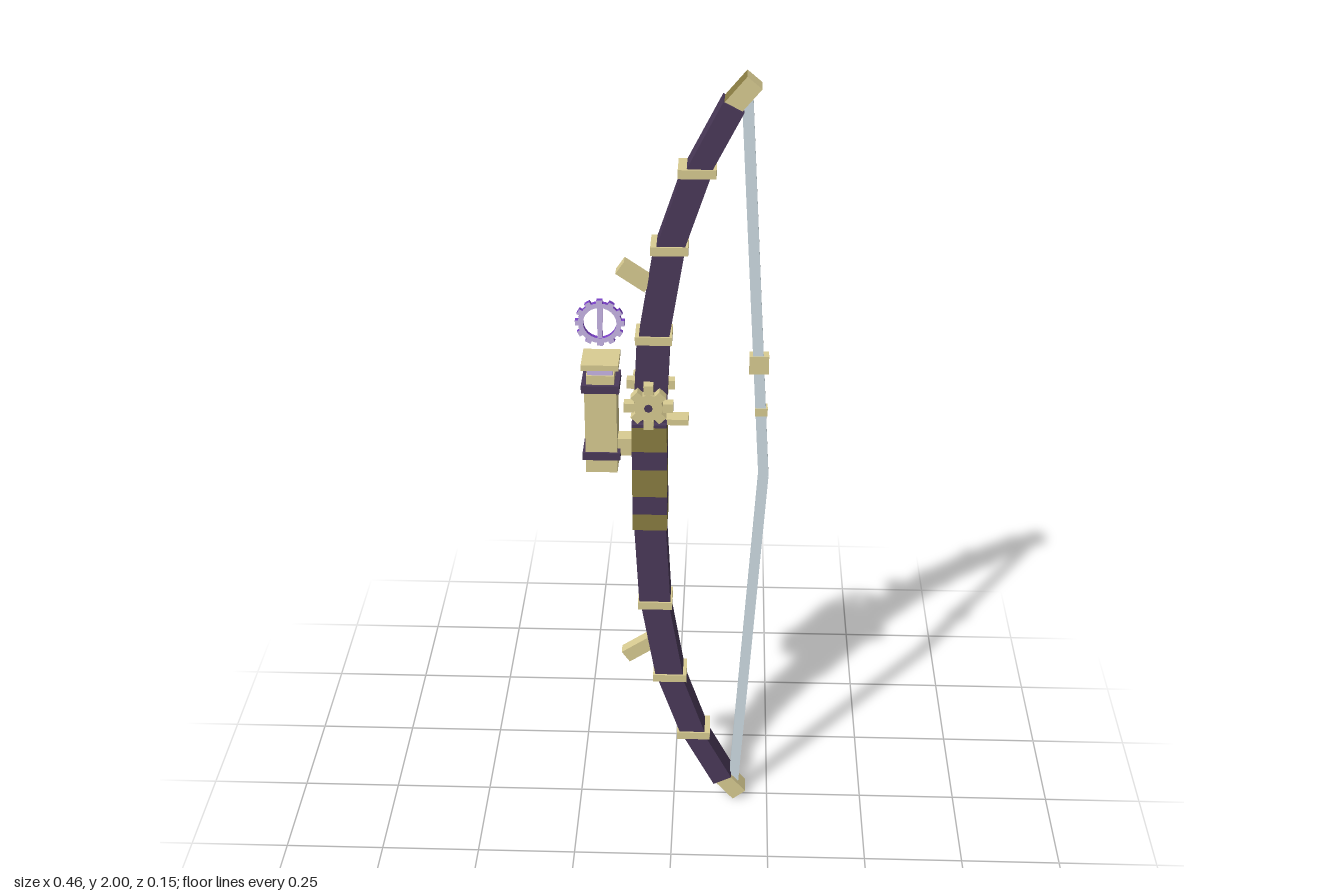
import * as THREE from 'three';

const mat = (name, color) => {
  const m = new THREE.MeshStandardMaterial({ color });
  m.name = name;
  return m;
};

export function createModel() {
  const dark = mat('dark purple wood', 0x4a3959);
  const brass = mat('pale brass', 0xd9cc92);
  const wrap = mat('olive grip wrap', 0x8a7d42);
  const steel = mat('pale steel', 0xcfdde4);
  const lavender = mat('pale lavender crystal', 0xd2bff2);
  const violet = mat('vivid violet crystal', 0x7a40c8);
  // Crystal boxes: violet edges, lavender front and back
  const crystal = [violet, violet, violet, violet, lavender, lavender];

  const bow = new THREE.Group();
  bow.name = 'bow';

  function box(name, w, h, d, x, y, z, material, angle = 0, parent = bow) {
    const mesh = new THREE.Mesh(new THREE.BoxGeometry(w, h, d), material);
    mesh.name = name;
    mesh.position.set(x, y, z);
    mesh.rotation.z = angle;
    parent.add(mesh);
    return mesh;
  }

  // Square bar between two points in the xy plane
  function bar(name, a, b, w, d, material) {
    const dx = b[0] - a[0], dy = b[1] - a[1];
    return box(name, w, Math.hypot(dx, dy), d, (a[0] + b[0]) / 2, (a[1] + b[1]) / 2, 0,
      material, Math.atan2(-dx, dy));
  }

  // Upper and lower limbs, mirrored about y = 1
  const joints = [[-0.06, 1.1], [-0.047, 1.37], [-0.01, 1.595], [0.052, 1.78], [0.13, 1.932]];
  const widths = [0.078, 0.07, 0.062, 0.052];
  for (const s of [1, -1]) {
    const side = s > 0 ? 'upper' : 'lower';
    const flip = ([x, y]) => [x, 1 + s * (y - 1)];
    for (let i = 0; i < 4; i++) {
      bar(side + 'Limb', flip(joints[i]), flip(joints[i + 1]), widths[i], 0.066, dark);
      if (i) {
        const [x, y] = flip(joints[i]);
        box(side + 'LimbBand', 0.086, 0.021, 0.075, x, y, 0, brass);
      }
    }
    // Tip with an olive outer face
    const tipFaces = [brass, brass, s > 0 ? wrap : brass, s > 0 ? brass : wrap, brass, brass];
    box(side + 'Tip', 0.078, 0.043, 0.05, 0.15, 1 + s * 0.956, 0, tipFaces, s * 0.87);
    box(side + 'Peg', 0.08, 0.036, 0.03, -0.091, 1 + s * 0.522, 0, brass, -s * 0.6);
    bar(side + 'String', [0.16, 1 + s * 0.95], [0.217, 1], 0.025, 0.024, steel);
  }

  // Nocking beads on the string
  box('stringBead', 0.046, 0.046, 0.028, 0.2, 1.3, 0, brass);
  box('smallStringBead', 0.03, 0.02, 0.028, 0.208, 1.175, 0, brass);

  // Striped grip
  const stripes = [0.86, 0.905, 0.955, 1.03, 1.08, 1.146];
  for (let i = 0; i < 5; i++) {
    const h = stripes[i + 1] - stripes[i];
    box('gripStripe', 0.084, h, 0.092, -0.058, stripes[i] + h / 2, 0, i % 2 ? dark : wrap);
  }
  box('gripCap', 0.084, 0.008, 0.092, -0.058, 1.15, 0, dark);
  box('arrowRest', 0.06, 0.015, 0.04, 0.005, 1.148, 0, brass);

  // Gears on both sides, sharing one axle
  for (const s of [1, -1]) {
    const gear = new THREE.Group();
    gear.name = 'gear';
    gear.position.set(-0.058, 1.213, s * 0.06);
    const hub = new THREE.Mesh(new THREE.CylinderGeometry(0.036, 0.036, 0.024, 8), brass);
    hub.name = 'gearDisc';
    hub.rotation.x = Math.PI / 2;
    gear.add(hub);
    for (let i = 0; i < 8; i++) {
      const a = i * Math.PI / 4;
      const reach = i % 2 ? 0.036 : 0.046;
      box('gearTooth', 0.024, 0.023, 0.024, reach * Math.cos(a), reach * Math.sin(a), 0, brass, a, gear);
    }
    bow.add(gear);
  }
  const axle = new THREE.Mesh(new THREE.CylinderGeometry(0.01, 0.01, 0.15, 8), dark);
  axle.name = 'gearAxle';
  axle.rotation.x = Math.PI / 2;
  axle.position.set(-0.058, 1.213, 0);
  bow.add(axle);

  // Canister with bands, neck and lid
  const cx = -0.173;
  box('canister', 0.076, 0.235, 0.08, cx, 1.137, 0, brass);
  for (const y of [1.065, 1.245]) box('canisterBand', 0.09, 0.02, 0.09, cx, y, 0, dark);
  box('canisterShoulder', 0.066, 0.023, 0.074, cx, 1.2665, 0, brass);
  box('canisterNeck', 0.06, 0.017, 0.066, cx, 1.2865, 0, lavender);
  box('canisterLid', 0.088, 0.014, 0.088, cx, 1.302, 0, brass);
  box('canisterBracket', 0.045, 0.045, 0.04, -0.117, 1.078, 0, brass);

  // Toothed sight ring with a central needle
  const ring = new THREE.Group();
  ring.name = 'sightRing';
  ring.position.set(cx, 1.4, 0);
  const shape = new THREE.Shape().absarc(0, 0, 0.051, 0, Math.PI * 2);
  shape.holes.push(new THREE.Path().absarc(0, 0, 0.039, 0, Math.PI * 2, true));
  const hoop = new THREE.Mesh(
    new THREE.ExtrudeGeometry(shape, { depth: 0.012, bevelEnabled: false, curveSegments: 12 }),
    [lavender, violet]);
  hoop.name = 'ringHoop';
  hoop.position.z = -0.006;
  ring.add(hoop);
  for (let i = 0; i < 12; i++) {
    const a = i * Math.PI / 6;
    box('ringTooth', 0.012, 0.014, 0.012, 0.052 * Math.cos(a), 0.052 * Math.sin(a), 0, crystal, a, ring);
  }
  box('ringNeedle', 0.012, 0.086, 0.01, 0, 0, 0, crystal, 0, ring);
  bow.add(ring);

  return bow;
}
